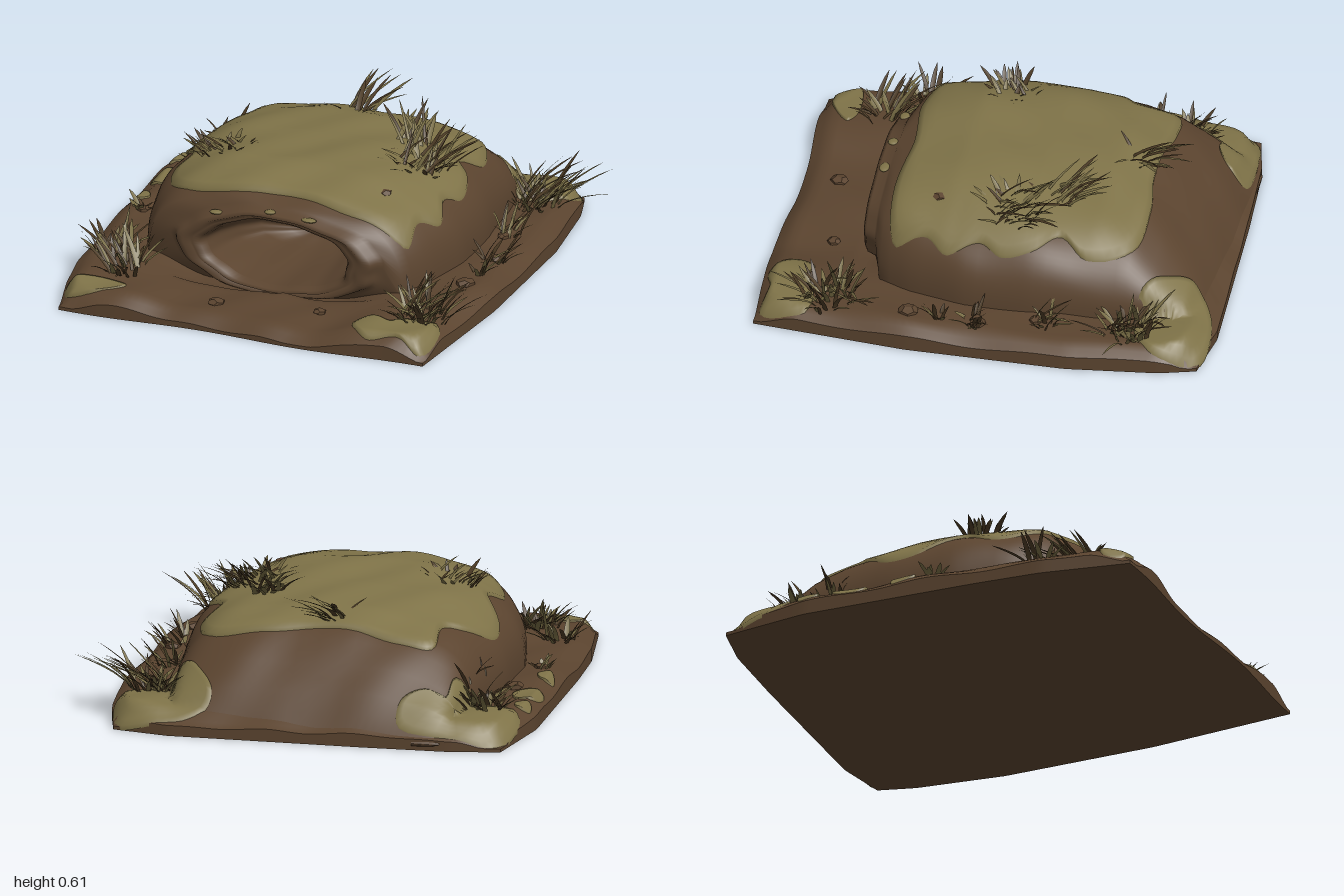
import * as THREE from 'three';
import { mergeGeometries } from 'three/addons/utils/BufferGeometryUtils.js';

const paint = (name, color) => {
  const m = new THREE.MeshStandardMaterial({ color, side: THREE.DoubleSide });
  m.name = name;
  return m;
};

let seed = 7;
const rnd = (a = 0, b = 1) => {
  seed = (seed * 16807) % 2147483647;
  return a + (b - a) * (seed / 2147483647);
};

// linear lookup in [[key, value], ...]
const tab = (t, k) => {
  if (k <= t[0][0]) return t[0][1];
  for (let i = 1; i < t.length; i++) {
    if (k <= t[i][0]) return THREE.MathUtils.mapLinear(k, t[i - 1][0], t[i][0], t[i - 1][1], t[i][1]);
  }
  return t[t.length - 1][1];
};

// surface from rows of points; closed rows wrap round
function grid(rows, cols, fn, closed) {
  const pos = [], idx = [];
  for (let i = 0; i < rows; i++) for (let j = 0; j < cols; j++) pos.push(...fn(i, j));
  for (let i = 0; i < rows - 1; i++) for (let j = 0; j < (closed ? cols : cols - 1); j++) {
    const k = (j + 1) % cols, a = i * cols + j, b = i * cols + k, c = b + cols, d = a + cols;
    idx.push(a, b, c, a, c, d);
  }
  const g = new THREE.BufferGeometry();
  g.setAttribute('position', new THREE.Float32BufferAttribute(pos, 3));
  g.setIndex(idx);
  g.computeVertexNormals();
  return g;
}

// ground outline and height, thin at the corners and along the back
const leftX = z => tab([[-1, -0.9], [-0.5, -0.975], [0.3, -0.95], [0.6, -0.93], [1, -0.855]], z);
const rightX = z => tab([[-1, 0.77], [-0.8, 0.83], [-0.4, 0.88], [0.3, 0.88], [1, 0.82]], z);
const backZ = x => tab([[-0.93, -0.89], [-0.7, -0.94], [-0.3, -0.965], [0.6, -1], [0.85, -0.96]], x);
const frontZ = x => 0.985 + 0.012 * Math.sin(6 * x);
const bumps = (x, z) => 0.008 * Math.sin(9 * x + 2 * z) * Math.cos(8 * z - 3 * x) + 0.004 * Math.sin(19 * x + 13 * z);
const smooth = THREE.MathUtils.smoothstep;
function groundY(x, z) {
  const dx = Math.min(x - leftX(z), rightX(z) - x), back = z - backZ(x), front = frontZ(x) - z;
  const dip = (1 - smooth(Math.abs(x + 0.03), 0.3, 0.6)) * smooth(z, -0.3, 0);
  const y = 0.105 + bumps(x, z) - 0.045 * (1 - smooth(Math.min(dx, front), 0, 0.06))
    - 0.055 * (1 - smooth(back, 0, 0.1)) - 0.05 * (1 - smooth(dx + Math.min(back, front), 0, 0.2))
    - dip * (z < 0.6 ? 0.06 : 0.04);
  return Math.max(0.015, y);
}

// mound: flattened arch section that changes along z
const CX = -0.06, P = 2.8;
const baseY = z => tab([[-0.95, 0.03], [-0.86, 0.07]], z);
const moundW = z => tab([[-0.95, 0.6], [-0.6, 0.66], [-0.2, 0.71], [0.1, 0.71], [0.35, 0.65], [0.48, 0.59]], z);
const moundH = z => tab([[-0.95, 0.01], [-0.86, 0.12], [-0.72, 0.265], [-0.6, 0.35], [-0.45, 0.39], [-0.15, 0.415], [0.2, 0.425], [0.42, 0.395], [0.48, 0.365]], z);
function moundY(x, z) {
  const k = Math.abs((x - CX) / moundW(z));
  return k >= 1 || z > 0.5 || z < -0.95 ? 0 : baseY(z) + moundH(z) * (1 - k ** P) ** (1 / P) + bumps(x, z);
}
const surfaceY = (x, z) => Math.max(groundY(x, z), moundY(x, z));

const SIDES = 96;
const archPoint = (z, t) => {
  const c = Math.cos(t), s = Math.sin(t);
  const x = CX + moundW(z) * Math.sign(c) * Math.abs(c) ** (2 / P);
  const y = s > 0 ? baseY(z) + moundH(z) * s ** (2 / P) + bumps(x, z) * Math.min(1, s * 3) : baseY(z) * (1 + 0.6 * s);
  return [x, y, z];
};
// oval rings: [halfWidth, halfHeight, z, centreY]
const ovalPoint = ([a, b, z, cy], t) => {
  const wob = 1 + 0.02 * Math.sin(5 * t + z * 9) + 0.012 * Math.sin(11 * t);
  return [-0.03 + a * Math.cos(t) * wob, Math.max(0.015, cy + b * Math.sin(t) * wob), z];
};
const LIP = [[0.49, 0.21, 0.515, 0.215], [0.465, 0.195, 0.525, 0.215], [0.445, 0.188, 0.565, 0.215], [0.41, 0.178, 0.582, 0.215],
  [0.385, 0.17, 0.562, 0.215], [0.37, 0.167, 0.572, 0.215], [0.34, 0.158, 0.56, 0.215], [0.325, 0.152, 0.52, 0.215]];
const TUNNEL = [[0.325, 0.152, 0.52, 0.215], [0.31, 0.142, 0.42, 0.21], [0.29, 0.115, 0.28, 0.185],
  [0.24, 0.08, 0.14, 0.155], [0.14, 0.04, 0.06, 0.13], [0, 0, 0.04, 0.13]];

// thin layer draped over the surface inside a closed outline
function drape(outline, lift, rows, cols) {
  const curve = new THREE.CatmullRomCurve3(outline.map(([x, z]) => new THREE.Vector3(x, 0, z)), true);
  const edge = curve.getPoints(cols).slice(0, cols);
  const mid = edge.reduce((s, p) => s.add(p), new THREE.Vector3()).divideScalar(cols);
  return grid(rows + 1, cols, (i, j) => {
    const r = Math.min(1, i / (rows - 1));
    const p = mid.clone().lerp(edge[j], r);
    return [p.x, surfaceY(p.x, p.z) + (i === rows ? -0.015 : lift), p.z];
  }, true);
}

// curved, tapering grass blade with a shallow V section
function blade(x, y, z, angle, length, lean, width) {
  const dx = Math.cos(angle), dz = Math.sin(angle);
  return grid(6, 3, (i, j) => {
    const s = i / 5, w = width * (1 - s) ** 0.7 * (0.6 + s) * (j - 1);
    const out = length * lean * s ** 1.3;
    const up = length * (s * Math.sqrt(1 - lean * lean * 0.75) - 0.15 * lean * s * s) + (j === 1 ? -0.006 * (1 - s) : 0);
    return [x + dx * out - dz * w, y + up, z + dz * out + dx * w];
  }, false);
}

export function createModel() {
  const root = new THREE.Group();
  const earth = paint('earth', 0x5b442f);
  const moss = paint('moss', 0x7f7348);
  const dryGrass = paint('dry grass', 0x4b3a24);
  const grass = paint('grass', 0x766b43);
  const add = (name, geo, mat, parent = root) => {
    const m = new THREE.Mesh(geo, mat);
    m.name = name;
    parent.add(m);
    return m;
  };

  // ground slab
  const slab = new THREE.BoxGeometry(1, 1, 1, 56, 2, 56);
  const p = slab.attributes.position;
  for (let i = 0; i < p.count; i++) {
    const u = p.getX(i) + 0.5, h = p.getY(i) + 0.5, v = p.getZ(i) + 0.5;
    const x0 = -0.93 + 1.78 * u;
    const z = THREE.MathUtils.lerp(backZ(x0), frontZ(x0), v);
    const x = THREE.MathUtils.lerp(leftX(z), rightX(z), u);
    p.setXYZ(i, x, h * groundY(x, z), z);
  }
  slab.computeVertexNormals();
  add('ground', slab, earth);

  // mound with front wall and burrow lip
  const zs = Array.from({ length: 30 }, (_, i) => -0.95 + 1.43 * i / 29);
  const ring = (j) => j / SIDES * Math.PI * 2;
  add('mound', grid(zs.length + 1 + LIP.length, SIDES, (i, j) => {
    if (i === 0) return [CX, baseY(-0.95), -0.95];
    if (i <= zs.length) return archPoint(zs[i - 1], ring(j));
    return ovalPoint(LIP[i - zs.length - 1], ring(j));
  }, true), earth);
  add('burrowTunnel', grid(TUNNEL.length, SIDES, (i, j) => ovalPoint(TUNNEL[i], ring(j)), true), earth);

  // moss cap and ground patches
  add('mossCap', drape([[-0.54, -0.61], [-0.4, -0.63], [-0.2, -0.61], [0, -0.61], [0.2, -0.64], [0.45, -0.61], [0.53, -0.42],
    [0.47, -0.3], [0.55, -0.2], [0.58, -0.06], [0.54, 0.04], [0.58, 0.18], [0.52, 0.28], [0.52, 0.42], [0.3, 0.465], [0, 0.44],
    [-0.3, 0.465], [-0.52, 0.42], [-0.62, 0.3], [-0.64, 0.2], [-0.6, 0.1], [-0.7, -0.08], [-0.71, -0.22], [-0.62, -0.35],
    [-0.54, -0.43]], 0.016, 22, 130), moss);
  const patches = [
    [[-0.9, -0.87], [-0.72, -0.92], [-0.46, -0.91], [-0.47, -0.84], [-0.56, -0.78], [-0.64, -0.78], [-0.66, -0.66], [-0.8, -0.6], [-0.93, -0.62]],
    [[0.37, -0.88], [0.5, -0.97], [0.76, -0.96], [0.81, -0.78], [0.72, -0.68], [0.58, -0.66], [0.45, -0.76]],
    [[0.45, 0.86], [0.5, 0.77], [0.6, 0.8], [0.64, 0.75], [0.81, 0.75], [0.8, 0.95], [0.68, 0.93], [0.55, 0.96]],
    [[-0.84, 0.95], [-0.86, 0.86], [-0.7, 0.82], [-0.6, 0.86], [-0.73, 0.95]],
    [[-0.94, -0.37], [-0.86, -0.39], [-0.82, -0.3], [-0.88, -0.23], [-0.94, -0.25]],
    [[-0.94, -0.1], [-0.89, -0.1], [-0.86, -0.04], [-0.91, 0]],
    [[-0.95, -0.53], [-0.9, -0.55], [-0.88, -0.49], [-0.93, -0.45]],
  ];
  patches.forEach(o => add('mossPatch', drape(o, 0.007, 10, 48), moss));

  // moss flecks on the burrow lip
  [[-0.31, 0.03], [-0.06, 0.025], [0.12, 0.035]].forEach(([x, w]) => {
    const fleck = add('lipMoss', new THREE.SphereGeometry(1, 12, 6), moss);
    fleck.scale.set(w, 0.008, 0.022);
    fleck.position.set(x, 0.215 + 0.193 * Math.sqrt(1 - ((x + 0.03) / 0.46) ** 2), 0.545);
  });

  // clods and stones
  [[-0.8, -0.22, 0.045], [0.35, 0.25, 0.035], [0.75, 0.31, 0.045], [-0.2, 0.81, 0.04], [0.25, 0.74, 0.03],
    [-0.84, 0.08, 0.03], [0.77, 0, 0.035], [-0.31, 0.21, 0.022], [0.7, -0.24, 0.03]].forEach(([x, z, r]) => {
    const clod = add('clod', new THREE.DodecahedronGeometry(r), earth);
    clod.scale.y = 0.45;
    clod.rotation.y = rnd(0, 6);
    clod.position.set(x, surfaceY(x, z) + 0.005, z);
  });

  // grass tufts: x, z, spread, blade length, count, main direction, share leaning that way, least lean
  const tufts = [
    [-0.77, -0.62, 0.11, 0.19, 40, -1.4, 0.4, 0.4], [-0.75, -0.47, 0.07, 0.15, 16, 2.6, 0.4, 0.4],
    [0.69, -0.64, 0.13, 0.29, 54, -0.5, 0.4, 0.4], [0.7, 0.67, 0.14, 0.26, 58, -0.2, 0.4, 0.35],
    [-0.67, 0.69, 0.11, 0.23, 36, -2.4, 0.4, 0.4], [-0.8, 0.54, 0.08, 0.23, 20, -2, 0.5, 0.4],
    [0.38, -0.08, 0.13, 0.24, 50, -1.1, 0.5, 0.6], [0.28, -0.24, 0.09, 0.26, 18, -1.9, 0.8, 0.75],
    [-0.09, -0.52, 0.07, 0.27, 16, -1.4, 0.8, 0.85], [-0.45, 0.1, 0.12, 0.14, 40, 2.8, 0.3, 0.6],
    [0.7, -0.28, 0.07, 0.2, 14, -1.3, 0.4, 0.4], [0.76, 0.02, 0.06, 0.19, 14, -0.6, 0.4, 0.4],
    [0.76, 0.17, 0.04, 0.15, 8, 0.3, 0.4, 0.4], [-0.85, 0.07, 0.04, 0.1, 10, 2.6, 0.3, 0.5],
  ];
  tufts.forEach(([x, z, spread, len, count, dir, pull, lean]) => {
    const sets = [[], []];
    for (let i = 0; i < count; i++) {
      const a = rnd(0, Math.PI * 2), r = spread * Math.sqrt(rnd()) * 0.8;
      const bx = x + r * Math.cos(a), bz = z + r * Math.sin(a);
      const facing = rnd() < pull ? dir + rnd(-0.6, 0.6) : a + rnd(-0.5, 0.5);
      const along = 0.75 + 0.25 * Math.cos(facing - dir);
      sets[rnd() < 0.5 ? 0 : 1].push(blade(bx, surfaceY(bx, bz) - 0.005, bz, facing,
        len * rnd(0.5, 1.05) * along, rnd(lean, 1), rnd(0.009, 0.018)));
    }
    const tuft = new THREE.Group();
    tuft.name = 'grassTuft';
    sets.forEach((s, k) => s.length && add('blades', mergeGeometries(s), k ? grass : dryGrass, tuft));
    root.add(tuft);
  });
  return root;
}
